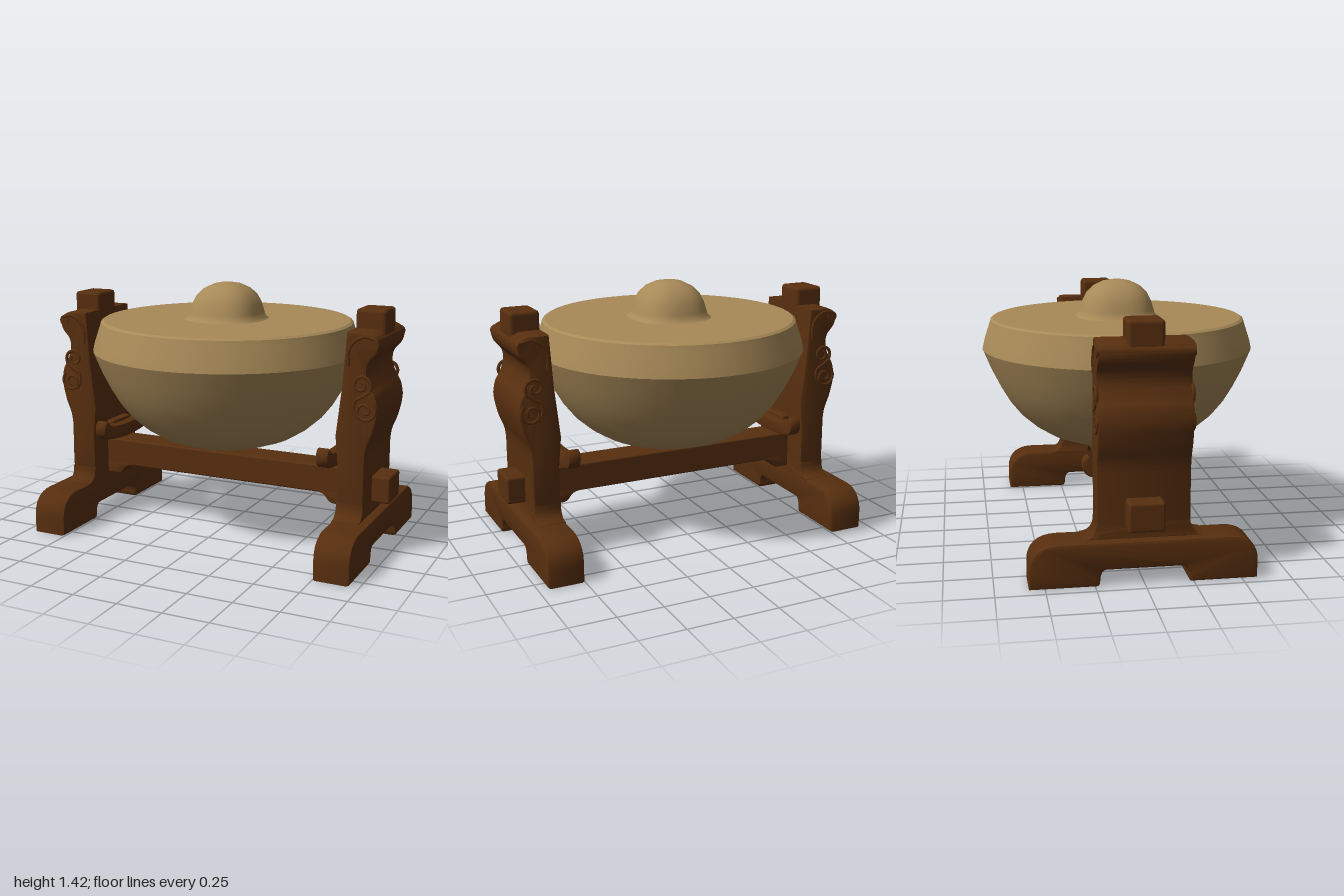
import * as THREE from 'three';
import { toCreasedNormals } from 'three/addons/utils/BufferGeometryUtils.js';
import { RoundedBoxGeometry } from 'three/addons/geometries/RoundedBoxGeometry.js';

const wood = new THREE.MeshStandardMaterial({ color: 0x582f0f });
wood.name = 'dark wood';
const bronze = new THREE.MeshStandardMaterial({ color: 0xa88a58 });
bronze.name = 'bronze';

const v2 = (pts) => pts.map(([x, y]) => new THREE.Vector2(x, y));

function add(parent, name, geometry, material, x = 0, y = 0, z = 0) {
  const mesh = new THREE.Mesh(geometry, material);
  mesh.name = name;
  mesh.position.set(x, y, z);
  parent.add(mesh);
  return mesh;
}

// Extrusion centred on its depth, with a small bevel kept inside the outline
function slab(shape, depth, bevel = 0.012) {
  const g = new THREE.ExtrudeGeometry(shape, {
    depth: depth - 2 * bevel, bevelThickness: bevel, bevelSize: bevel,
    bevelOffset: -bevel, bevelSegments: 2, curveSegments: 8,
  });
  g.translate(0, 0, -depth / 2 + bevel);
  return toCreasedNormals(g, 0.6);
}

// Turns a (z, y) outline so that its thickness runs along x
const sideSlab = (shape, depth, bevel) => slab(shape, depth, bevel).rotateY(-Math.PI / 2);

const box = (w, h, d, r = 0.014) => new RoundedBoxGeometry(w, h, d, 2, r);

function postShape() {
  const s = new THREE.Shape();
  s.moveTo(0.75, 0.2);
  s.lineTo(0.9, 0.2);
  s.lineTo(0.9, 0.58);
  s.splineThru(v2([[0.91, 0.64], [0.94, 0.72], [0.96, 0.82], [0.95, 0.9], [0.92, 0.955],
    [0.897, 1.02], [0.905, 1.08], [0.945, 1.13], [0.958, 1.18], [0.94, 1.215], [0.9, 1.235]]));
  s.lineTo(0.785, 1.235);
  s.lineTo(0.765, 0.95);
  s.lineTo(0.735, 0.68);
  s.lineTo(0.75, 0.52);
  return s;
}

function footShape() {
  const s = new THREE.Shape();
  s.moveTo(-0.58, 0.005);
  s.lineTo(-0.24, 0.005);
  s.quadraticCurveTo(-0.225, 0.005, -0.225, 0.04);
  s.quadraticCurveTo(-0.22, 0.09, -0.19, 0.09);
  s.lineTo(0.19, 0.09);
  s.quadraticCurveTo(0.22, 0.09, 0.225, 0.04);
  s.quadraticCurveTo(0.225, 0.005, 0.24, 0.005);
  s.lineTo(0.58, 0.005);
  s.lineTo(0.58, 0.1);
  s.bezierCurveTo(0.58, 0.18, 0.53, 0.235, 0.43, 0.235);
  s.lineTo(-0.43, 0.235);
  s.bezierCurveTo(-0.53, 0.235, -0.58, 0.18, -0.58, 0.1);
  return s;
}

// Flared base that joins the post to the foot
function flareShape() {
  const s = new THREE.Shape();
  s.moveTo(-0.31, 0.22);
  s.lineTo(0.31, 0.22);
  s.lineTo(0.31, 0.236);
  s.quadraticCurveTo(0.238, 0.236, 0.238, 0.32);
  s.lineTo(-0.238, 0.32);
  s.quadraticCurveTo(-0.238, 0.236, -0.31, 0.236);
  return s;
}

// Sagging bar with rounded ends beside the bowl
function cradleShape() {
  const s = new THREE.Shape();
  s.moveTo(-0.25, 0.612);
  s.bezierCurveTo(-0.3, 0.6, -0.295, 0.51, -0.23, 0.5);
  s.quadraticCurveTo(0, 0.455, 0.23, 0.5);
  s.bezierCurveTo(0.295, 0.51, 0.3, 0.6, 0.25, 0.612);
  s.quadraticCurveTo(0.22, 0.585, 0.2, 0.575);
  s.quadraticCurveTo(0, 0.54, -0.2, 0.575);
  s.quadraticCurveTo(-0.22, 0.585, -0.25, 0.612);
  return s;
}

function corbelShape() {
  const s = new THREE.Shape();
  s.moveTo(0.76, 0.255);
  s.lineTo(0.76, 0.33);
  s.lineTo(0.58, 0.33);
  s.lineTo(0.58, 0.312);
  s.bezierCurveTo(0.66, 0.31, 0.63, 0.255, 0.69, 0.255);
  return s;
}

// Carved line lying on a post face
function carving(points, r = 0.009) {
  const curve = new THREE.CatmullRomCurve3(points.map(([x, y]) => new THREE.Vector3(x, y, 0)));
  return new THREE.TubeGeometry(curve, 40, r, 6);
}

function spiral(cx, cy, radius, start, turns) {
  return Array.from({ length: 15 }, (_, i) => {
    const t = i / 14, a = start + t * turns * Math.PI * 2, r = radius * (1 - 0.75 * t);
    return [cx + r * Math.cos(a), cy + r * Math.sin(a)];
  });
}

function buildSide() {
  const side = new THREE.Group();
  add(side, 'post', slab(postShape(), 0.476), wood);
  add(side, 'postTop', box(0.165, 0.16, 0.185, 0.02), wood, 0.865, 1.257, 0);
  add(side, 'foot', sideSlab(footShape(), 0.2, 0.015), wood, 0.85, 0, 0);
  add(side, 'postFlare', sideSlab(flareShape(), 0.15, 0.004), wood, 0.825, 0, 0);
  add(side, 'tenon', box(0.2, 0.15, 0.185), wood, 0.9, 0.37, 0);
  add(side, 'corbel', slab(corbelShape(), 0.18, 0.006), wood);
  add(side, 'cradleBar', sideSlab(cradleShape(), 0.07, 0.01), wood, 0.68, 0, 0);
  add(side, 'cradleNeck', box(0.07, 0.065, 0.2), wood, 0.735, 0.545, 0);

  // Scrollwork on the front and back of the post
  const lines = [
    spiral(0.872, 0.965, 0.055, -0.6, 1.3),
    spiral(0.893, 0.83, 0.06, 0.8, -1.4),
    [[0.918, 0.934], [0.88, 0.905], [0.84, 0.88], [0.835, 0.83], [0.86, 0.785]],
    [[0.94, 1.205], [0.88, 1.215], [0.83, 1.19], [0.8, 1.14], [0.8, 1.06]],
  ];
  for (const z of [-0.238, 0.238])
    for (const line of lines) add(side, 'scrollCarving', carving(line), wood, 0, 0, z);
  // Rolled lip under the outer top edge
  const lip = add(side, 'rolledLip', new THREE.CylinderGeometry(0.03, 0.03, 0.484, 16), wood, 0.928, 1.185, 0);
  lip.rotation.x = Math.PI / 2;
  return side;
}

function buildGong() {
  const gong = new THREE.Group();
  gong.name = 'gong';
  const bowl = new THREE.LatheGeometry(v2([[0, 0.497], [0.13, 0.503], [0.28, 0.533], [0.39, 0.573],
    [0.475, 0.625], [0.55, 0.69], [0.61, 0.765], [0.66, 0.85], [0.705, 0.94], [0.752, 1.055],
    [0.74, 1.105], [0.712, 1.19], [0.705, 1.215], [0.69, 1.225], [0, 1.225]]), 48);
  add(gong, 'bowl', toCreasedNormals(bowl, 0.45), bronze);

  // Central knob, slightly squared in plan
  const knob = new THREE.LatheGeometry(v2([[0.228, 1.222], [0.207, 1.235], [0.198, 1.265], [0.185, 1.31],
    [0.163, 1.355], [0.125, 1.393], [0.075, 1.418], [0.03, 1.427], [0, 1.428]]), 40);
  const p = knob.attributes.position;
  for (let i = 0; i < p.count; i++) {
    const a = Math.atan2(p.getZ(i), p.getX(i));
    const k = 1.0 + 0.07 * Math.sin(2 * a) ** 2;
    p.setX(i, p.getX(i) * k);
    p.setZ(i, p.getZ(i) * k * 1.03);
  }
  knob.computeVertexNormals();
  add(gong, 'knob', toCreasedNormals(knob, 0.9), bronze);
  return gong;
}

export function createModel() {
  const model = new THREE.Group();
  model.name = 'gongOnStand';
  const left = buildSide();
  left.name = 'leftStand';
  const right = left.clone();
  right.name = 'rightStand';
  right.rotation.y = Math.PI;
  model.add(left, right, buildGong());
  add(model, 'crossbeam', box(1.7, 0.155, 0.18, 0.01), wood, 0, 0.388, 0);
  return model;
}
